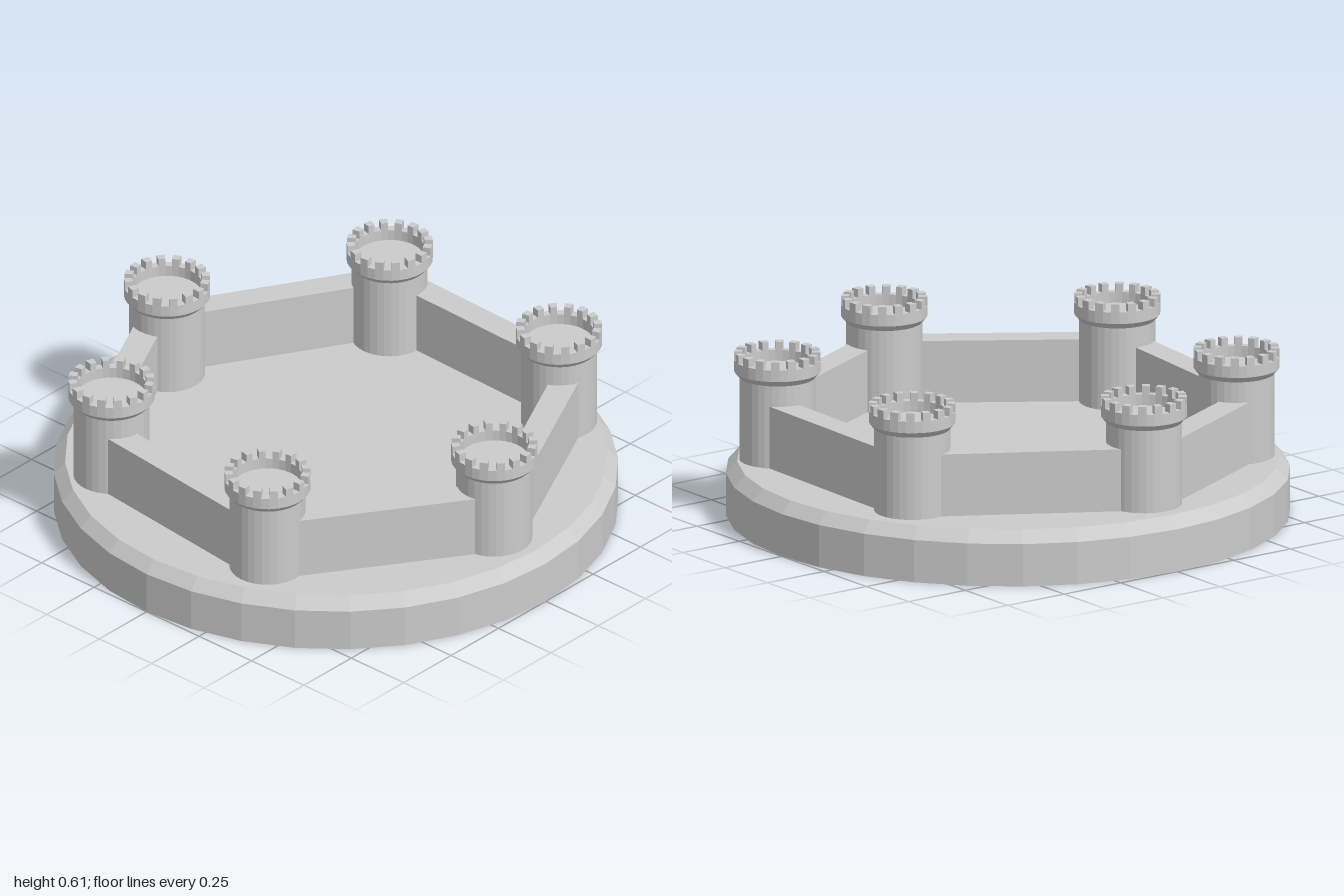
import * as THREE from 'three';

const SEGMENTS = 32;
const FLOOR = 0.21; // underside of towers and walls
const material = new THREE.MeshStandardMaterial({ color: 0xcccccc, flatShading: true });

function addMesh(parent, name, geometry) {
  const mesh = new THREE.Mesh(geometry, material);
  mesh.name = name;
  parent.add(mesh);
  return mesh;
}

// Solid of revolution from [radius, height] pairs, listed from the bottom centre up
function turned(profile) {
  return new THREE.LatheGeometry(profile.map(([r, y]) => new THREE.Vector2(r, y)), SEGMENTS);
}

// One ring-sector block of the battlement
function merlonGeometry(inner, outer, height) {
  const half = Math.PI / SEGMENTS;
  const at = (r, a) => new THREE.Vector2(r * Math.cos(a), r * Math.sin(a));
  const shape = new THREE.Shape([at(inner, -half), at(outer, -half), at(outer, half), at(inner, half)]);
  return new THREE.ExtrudeGeometry(shape, { depth: height, bevelEnabled: false }).rotateX(-Math.PI / 2);
}

// Tower with flared crown, sunken platform and a ring of merlons
function createTower(bodyGeometry, merlon) {
  const tower = new THREE.Group();
  tower.name = 'tower';
  addMesh(tower, 'towerBody', bodyGeometry);
  for (let i = 0; i < SEGMENTS / 2; i++) {
    const block = addMesh(tower, 'merlon', merlon);
    block.position.y = 0.575;
    block.rotation.y = ((i * 2 + 0.5) / SEGMENTS) * Math.PI * 2;
  }
  return tower;
}

export function createModel() {
  const model = new THREE.Group();
  model.name = 'ringFort';

  // Round base with a chamfered rim
  addMesh(model, 'base', turned([[0, 0], [1, 0], [1, 0.155], [0.96, 0.198], [0, 0.198]]));

  // Tower centres [x, z], running clockwise as seen from above
  const centres = [
    [-0.39, -0.715], [0.44, -0.69], [0.803, 0.054],
    [0.336, 0.734], [-0.49, 0.643], [-0.81, -0.005],
  ];
  const body = turned([
    [0, FLOOR], [0.135, FLOOR], [0.135, 0.512], [0.153, 0.533], [0.153, 0.575],
    [0.124, 0.575], [0.124, 0.535], [0, 0.535],
  ]);
  const merlon = merlonGeometry(0.124, 0.153, 0.03);

  const wallTop = 0.437;
  const wallWidth = 0.1;
  centres.forEach(([x, z], i) => {
    const tower = createTower(body, merlon);
    tower.position.set(x, 0, z);
    model.add(tower);

    // Curtain wall to the next tower, set to the outer side of the centre line
    const [nx, nz] = centres[(i + 1) % centres.length];
    const dx = nx - x, dz = nz - z;
    const length = Math.hypot(dx, dz);
    const offset = 0.048 / length;
    const wall = addMesh(model, 'wall', new THREE.BoxGeometry(length, wallTop - FLOOR, wallWidth));
    wall.position.set((x + nx) / 2 + dz * offset, (wallTop + FLOOR) / 2, (z + nz) / 2 - dx * offset);
    wall.rotation.y = -Math.atan2(dz, dx);
  });

  return model;
}
